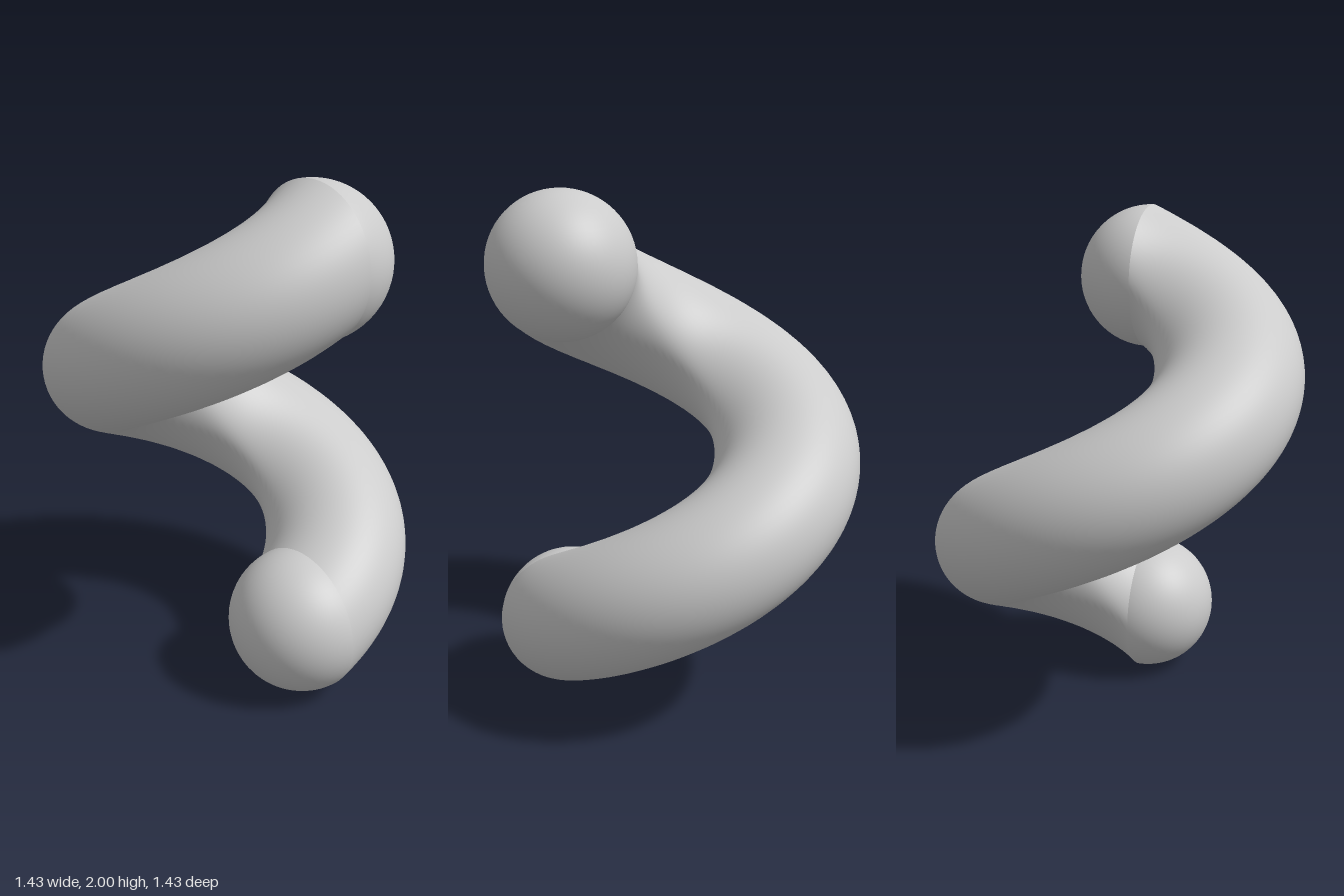
import * as THREE from 'three';
import { ParametricGeometry } from 'three/addons/geometries/ParametricGeometry.js';

const COIL = 0.43;           // radius of the helix
const TUBE = 0.283;          // radius of the round section
const BOTTOM = TUBE;         // height of the lower end's centre
const TOP = 2 - TUBE;        // height of the upper end's centre

export function createModel() {
  const group = new THREE.Group();
  group.name = 'helixCoil';
  const material = new THREE.MeshStandardMaterial({ color: 0xcccccc });

  function add(name, geometry) {
    const mesh = new THREE.Mesh(geometry, material);
    mesh.name = name;
    group.add(mesh);
    return mesh;
  }

  // One full turn; the section stays a circle in the upright radial plane
  add('coil', new ParametricGeometry((u, v, target) => {
    const turn = u * Math.PI * 2;
    const around = v * Math.PI * 2;
    const radius = COIL + TUBE * Math.cos(around);
    target.set(
      radius * Math.cos(turn),
      THREE.MathUtils.lerp(BOTTOM, TOP, u) + TUBE * Math.sin(around),
      -radius * Math.sin(turn)
    );
  }, 128, 64));

  // Half-sphere caps: the lower faces forward, the upper faces back
  for (const [name, y, start] of [['lowerCap', BOTTOM, 0], ['upperCap', TOP, Math.PI]]) {
    add(name, new THREE.SphereGeometry(TUBE, 32, 32, start, Math.PI)).position.set(COIL, y, 0);
  }

  return group;
}
